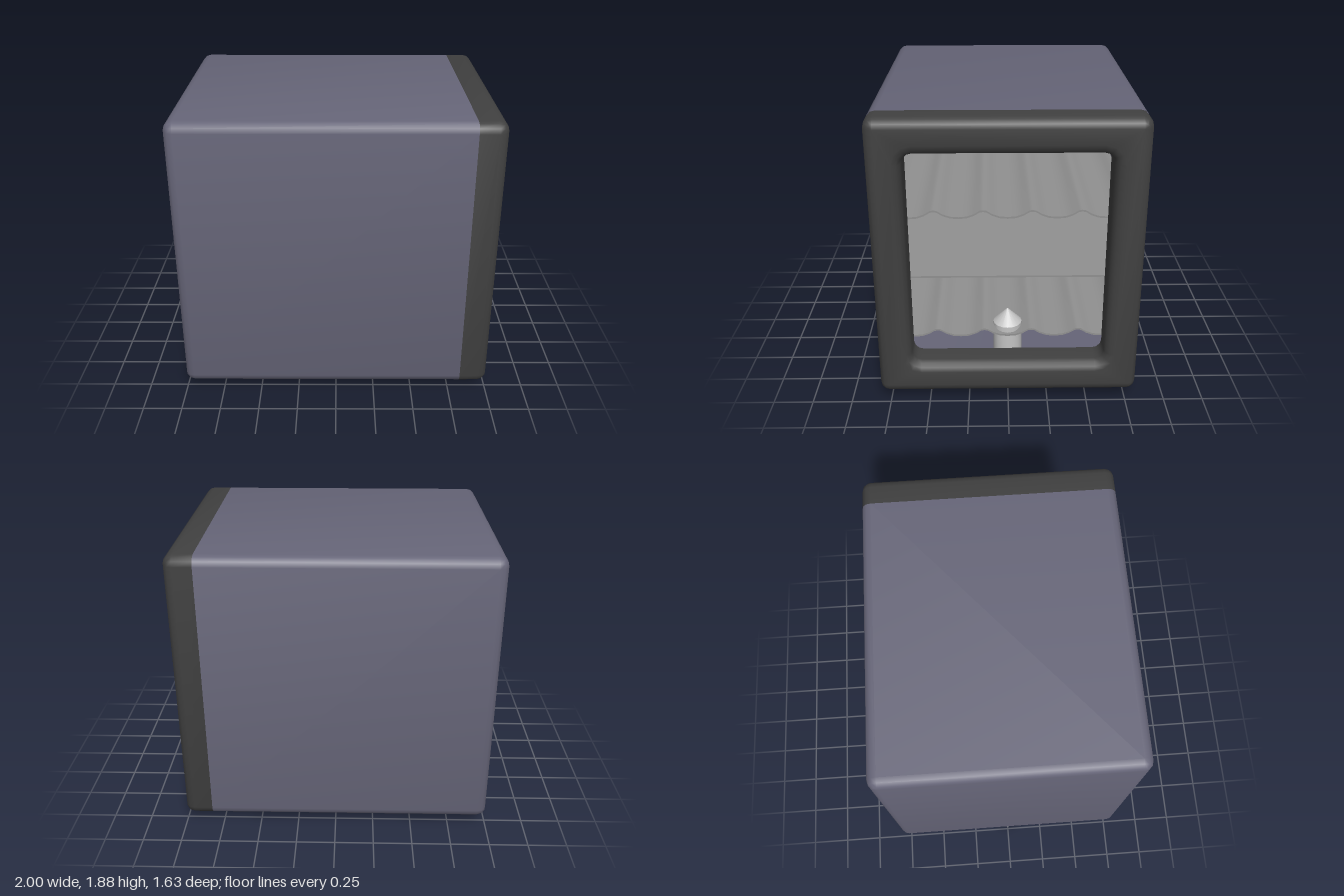
import * as THREE from 'three';
import { toCreasedNormals } from 'three/addons/utils/BufferGeometryUtils.js';

const MID_Y = 0.9725;   // centre height of the housing
const HALF_Z = 0.815;
const HALF_Y = 0.9075;

const material = (name, color) => {
  const m = new THREE.MeshStandardMaterial({ color });
  m.name = name;
  return m;
};

// Rounded rectangle in the z-y plane at a given x
function ring(x, hz, hy, r, steps = 3) {
  const pts = [];
  for (let c = 0; c < 4; c++) {
    const sz = c === 0 || c === 3 ? 1 : -1;
    const sy = c < 2 ? 1 : -1;
    for (let i = 0; i <= steps; i++) {
      const a = (c + i / steps) * Math.PI / 2;
      pts.push(new THREE.Vector3(x, sy * (hy - r) + r * Math.sin(a), sz * (hz - r) + r * Math.cos(a)));
    }
  }
  return pts;
}

// Skin a row of rings, with optional flat ends
function loft(rings, capStart, capEnd) {
  const tris = [];
  const n = rings[0].length;
  for (let i = 0; i < rings.length - 1; i++) {
    for (let j = 0; j < n; j++) {
      const k = (j + 1) % n;
      const a = rings[i][j], b = rings[i + 1][j], c = rings[i + 1][k], d = rings[i][k];
      tris.push(a, b, c, a, c, d);
    }
  }
  const last = rings[rings.length - 1];
  for (let j = 1; j < n - 1; j++) {
    if (capStart) tris.push(rings[0][0], rings[0][j], rings[0][j + 1]);
    if (capEnd) tris.push(last[0], last[j + 1], last[j]);
  }
  return toCreasedNormals(new THREE.BufferGeometry().setFromPoints(tris), 0.7);
}

// Quarter-round edge: t = 0 on the side wall, t = 1 on the flat face
const roundEdge = (r, fn, steps = 3) =>
  Array.from({ length: steps + 1 }, (_, i) => {
    const a = (i / steps) * Math.PI / 2;
    return fn(r * (1 - Math.cos(a)), r * (1 - Math.sin(a)));
  });

export function createModel() {
  const model = new THREE.Group();
  model.name = 'shelvedBox';
  const housingMat = material('slate housing', 0x666578);
  const frameMat = material('dark rubber', 0x404040);
  const shelfMat = material('grey shelf', 0x919191);
  const postMat = material('pale metal', 0xc4c4c4);

  const add = (name, geometry, mat, x = 0, y = 0, z = 0) => {
    const mesh = new THREE.Mesh(geometry, mat);
    mesh.name = name;
    mesh.position.set(x, y, z);
    model.add(mesh);
    return mesh;
  };

  // Hollow housing, open towards +x
  const r = 0.06;
  const housing = loft([
    ...roundEdge(r, (inset, depth) => ring(-1 + depth, HALF_Z - inset, HALF_Y - inset, r + 0.001 - inset)).reverse(),
    ring(0.82, HALF_Z, HALF_Y, r),
    ring(0.82, 0.765, 0.857, 0.04),
    ring(-0.95, 0.765, 0.857, 0.04),
  ], true, true);
  add('housing', housing, housingMat, 0, MID_Y);

  // Door frame with rounded outer and inner edges
  const holeZ = 0.605, holeY = 0.693;
  const frame = loft([
    ring(0.82, HALF_Z, HALF_Y, r),
    ...roundEdge(r, (inset, depth) => ring(1 - depth, HALF_Z - inset, HALF_Y - inset, r + 0.001 - inset)),
    ...roundEdge(r, (inset, depth) => ring(1 - depth, holeZ + inset, holeY + inset, r + inset)).reverse(),
    ring(0.82, holeZ, holeY, r),
    ring(0.82, HALF_Z, HALF_Y, r),
  ], false, false);
  add('doorFrame', frame, frameMat, 0, MID_Y);

  // Flat middle shelf
  add('flatShelf', new THREE.BoxGeometry(1.77, 0.012, 1.53), shelfMat, -0.065, 0.805);

  // Rippled shelves: sharp crests, wide troughs
  const crest = [[-0.15, 0], [-0.1, 0.004], [-0.055, 0.02], [-0.02, 0.042], [0, 0.045],
    [0.02, 0.042], [0.055, 0.02], [0.1, 0.004]];
  const line = [];
  for (let i = -2; i <= 3; i++) {
    for (const [dz, h] of crest) {
      const z = i * 0.3 - 0.15 + dz;
      if (Math.abs(z) < 0.766) line.push([z, h]);
    }
  }
  const section = new THREE.Shape([
    ...line.map(([z, h]) => new THREE.Vector2(z, h)),
    ...line.map(([z, h]) => new THREE.Vector2(z, h + 0.012)).reverse(),
  ]);
  const ripple = toCreasedNormals(
    new THREE.ExtrudeGeometry(section, { depth: 1.77, bevelEnabled: false })
      .rotateY(Math.PI / 2).translate(-0.95, 0, 0), 0.7);
  for (const [name, y] of [['lowerRippledShelf', 0.37], ['upperRippledShelf', 1.2]]) {
    add(name, ripple, shelfMat, 0, y);
  }

  // Pointed posts through the floor, whose lower ends are the feet
  const post = toCreasedNormals(new THREE.LatheGeometry(
    [[0, 0], [0.092, 0], [0.092, 0.42], [0, 0.515]].map(([x, y]) => new THREE.Vector2(x, y)), 16), 0.6);
  add('rearPost', post, postMat, -0.892, 0);
  add('doorPost', post, postMat, 0.71, 0);

  return model;
}
